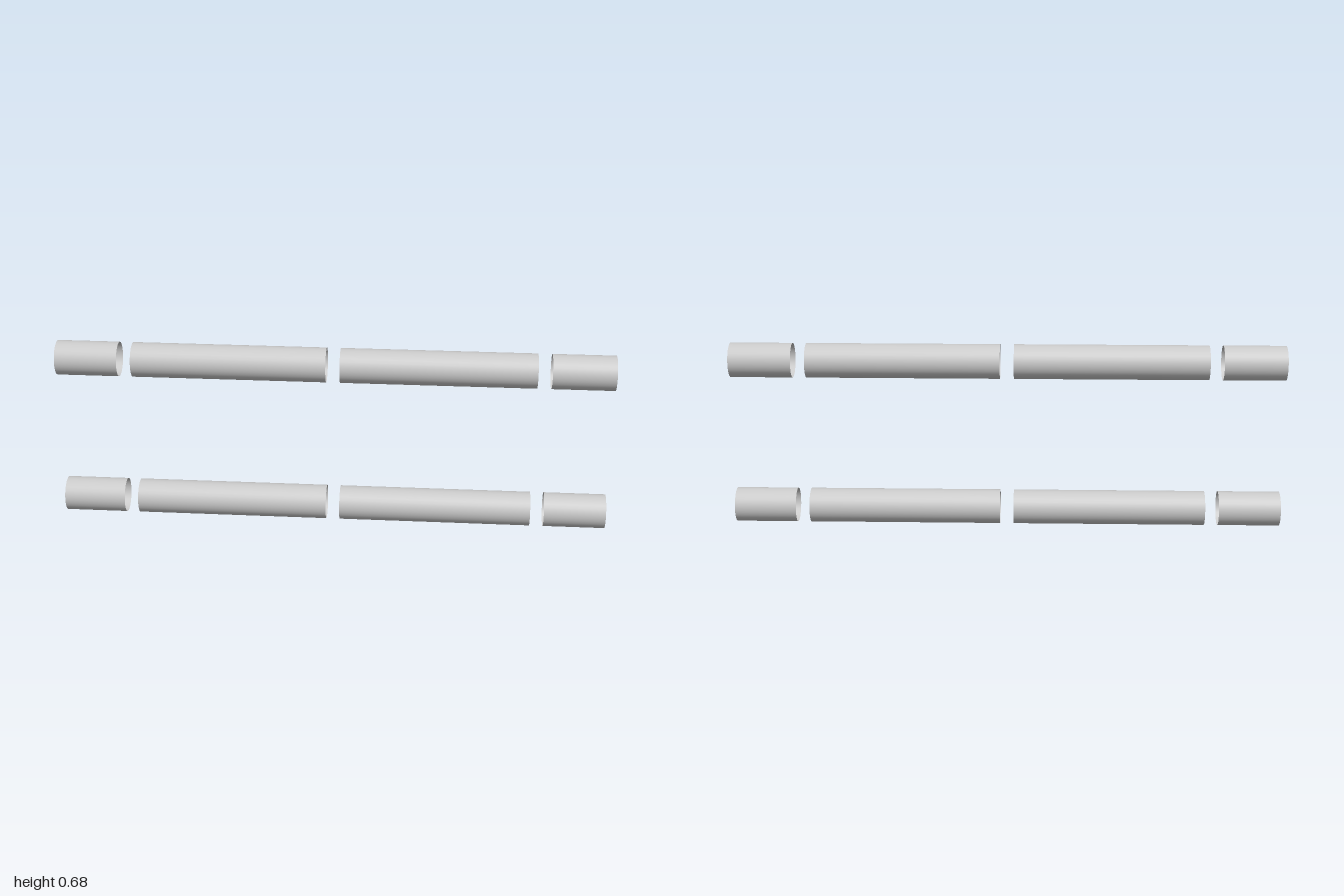
import * as THREE from 'three';

const RADIUS = 0.0625;

export function createModel() {
  const model = new THREE.Group();
  model.name = 'railPair';
  const material = new THREE.MeshStandardMaterial({ color: 0xcccccc, side: THREE.DoubleSide });

  // Open tube lying along x between two positions
  const tube = (name, from, to) => {
    const geometry = new THREE.CylinderGeometry(RADIUS, RADIUS, to - from, 32, 1, true);
    geometry.rotateZ(-Math.PI / 2);
    const mesh = new THREE.Mesh(geometry, material);
    mesh.name = name;
    mesh.position.x = (from + to) / 2;
    return mesh;
  };

  // Each rail: two long tubes in the middle, a short one at each end
  const rail = (name, y) => {
    const group = new THREE.Group();
    group.name = name;
    group.position.y = y;
    group.add(
      tube('rightEndTube', -1, -0.775),
      tube('rightMiddleTube', -0.725, -0.025),
      tube('leftMiddleTube', 0.025, 0.725),
      tube('leftEndTube', 0.775, 1),
    );
    return group;
  };

  model.add(rail('lowerRail', RADIUS), rail('upperRail', 0.6125));
  return model;
}
